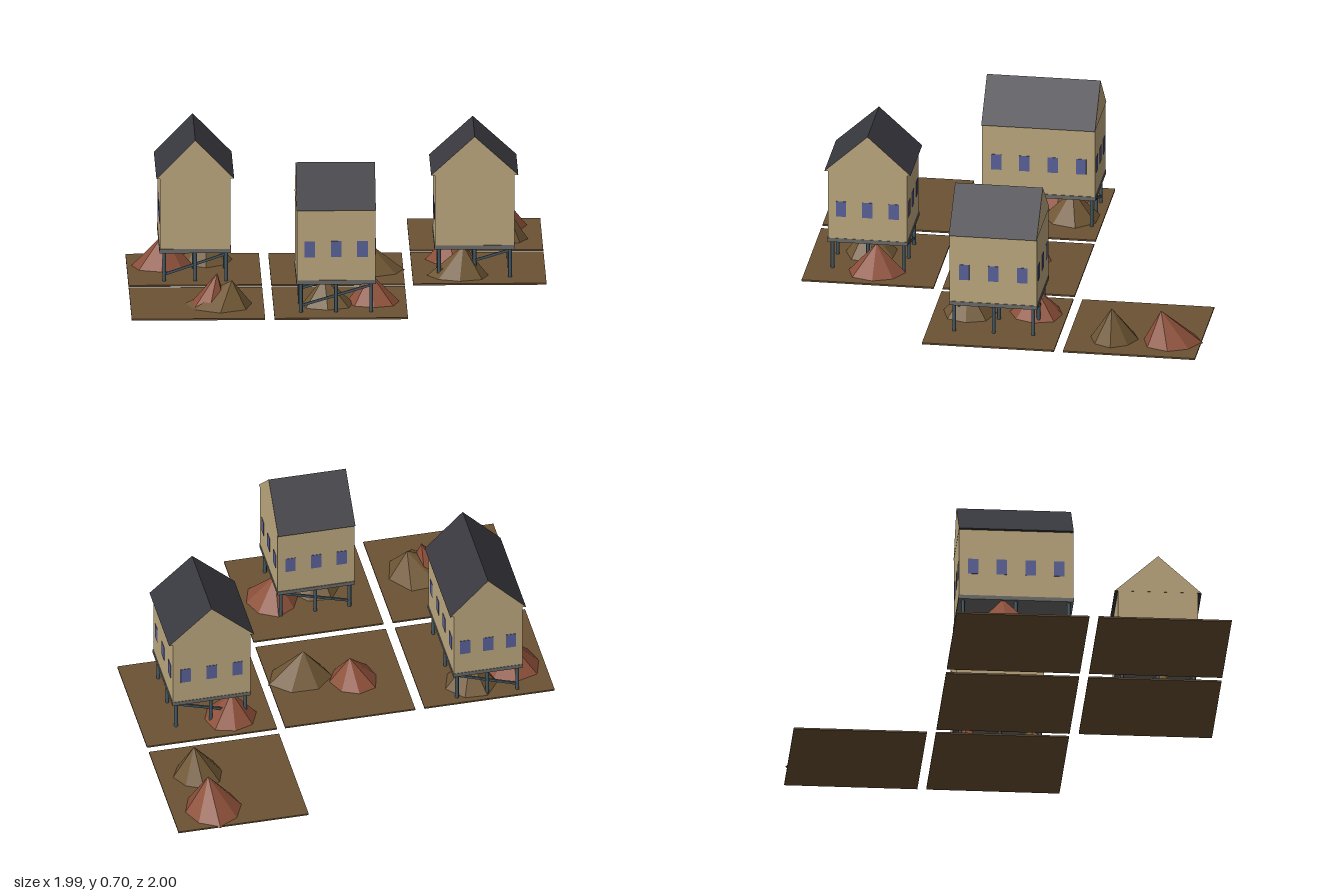
import * as THREE from 'three';

const mat = (name, color, extra = {}) => {
  const m = new THREE.MeshStandardMaterial({ color, ...extra });
  m.name = name;
  return m;
};

export function createModel() {
  const model = new THREE.Group();
  model.name = 'stiltVillage';

  const soil = mat('soil', 0x6b5233);
  const redRock = mat('redRock', 0x8c4f39, { flatShading: true });
  const brownRock = mat('brownRock', 0x705735, { flatShading: true });
  const wall = mat('wall', 0xc0ab80);
  const roof = mat('roof', 0x38383f);
  const glass = mat('windowBlue', 0x5c639c);
  const steel = mat('stiltSteel', 0x475a64);
  const deck = mat('deckGrey', 0x6c6d6b);

  const add = (parent, name, geometry, material, x = 0, y = 0, z = 0) => {
    const mesh = new THREE.Mesh(geometry, material);
    mesh.name = name;
    mesh.position.set(x, y, z);
    parent.add(mesh);
    return mesh;
  };

  // Square ground tiles
  const tiles = [[0.675, -0.675], [-0.68, 0.003], [0, 0.003], [0.675, 0.003], [-0.68, 0.682], [0, 0.682]];
  for (const [x, z] of tiles) {
    add(model, 'groundTile', new THREE.BoxGeometry(0.635, 0.008, 0.635), soil, x, 0.004, z);
  }

  // Faceted rock mounds: centre, radii, height, apex offset, sides
  const rocks = [
    [redRock, 0.79, -0.852, 0.14, 0.143, 0.165, 0.015, 0.05, 8],
    [brownRock, 0.8, -0.575, 0.122, 0.118, 0.168, 0.02, 0.008, 8],
    [redRock, -0.085, -0.02, 0.118, 0.13, 0.13, 0.02, 0.005, 8],
    [brownRock, 0.165, 0.05, 0.158, 0.13, 0.15, -0.02, 0.01, 7],
    [brownRock, -0.575, 0.725, 0.165, 0.165, 0.13, 0.06, 0.005, 7],
    [redRock, -0.625, 0.73, 0.095, 0.11, 0.165, 0.04, 0, 7],
    [redRock, 0.16, 0.665, 0.13, 0.14, 0.145, -0.015, 0, 8],
    [brownRock, -0.06, 0.72, 0.13, 0.13, 0.15, -0.015, 0.02, 7],
    [redRock, -0.835, -0.08, 0.15, 0.14, 0.165, 0.015, 0, 8],
    [brownRock, -0.62, -0.165, 0.13, 0.14, 0.15, 0, 0, 7],
    [redRock, 0.555, -0.17, 0.13, 0.13, 0.14, -0.01, 0.01, 8],
    [brownRock, 0.58, 0.15, 0.15, 0.13, 0.155, 0.02, 0.01, 8],
  ];
  rocks.forEach(([material, x, z, rx, rz, h, ax, az, sides], i) => {
    const g = new THREE.ConeGeometry(1, 1, sides, 1);
    const p = g.attributes.position;
    for (let k = 0; k < p.count; k++) {
      if (p.getY(k) > 0) p.setXYZ(k, ax, h, az);
      else {
        const px = p.getX(k), pz = p.getZ(k);
        const s = 1 + 0.05 * Math.sin(3 * Math.atan2(pz, px) + i) * Math.hypot(px, pz);
        p.setXYZ(k, px * rx * s, 0.004, pz * rz * s);
      }
    }
    g.computeVertexNormals();
    add(model, 'rockMound', g, material, x, 0, z);
  });

  // Row of window plates on one side, facing the given direction
  function windows(parent, count, span, distance, angle) {
    const row = new THREE.Group();
    row.name = 'windowRow';
    row.rotation.y = angle;
    for (let i = 0; i < count; i++) {
      const x = ((i + 0.5) / count - 0.5) * span;
      add(row, 'window', new THREE.BoxGeometry(0.05, 0.078, 0.004), glass, x, 0.32, distance);
    }
    parent.add(row);
  }

  // Gabled upper storey with its ridge along z and a blank wall on +z
  function cabin(parent, w, d, roofW, longCount, turn) {
    const c = new THREE.Group();
    c.name = 'cabin';
    c.rotation.y = turn;
    add(c, 'deck', new THREE.BoxGeometry(w + 0.006, 0.02, d + 0.004), deck, 0, 0.158, 0);
    add(c, 'walls', new THREE.BoxGeometry(w, 0.352, d), wall, 0, 0.34, 0);
    const s = new THREE.Shape();
    s.moveTo(-roofW / 2, 0.512);
    s.lineTo(roofW / 2, 0.512);
    s.lineTo(0, 0.7);
    s.closePath();
    const g = new THREE.ExtrudeGeometry(s, { depth: d + 0.002, bevelEnabled: false });
    add(c, 'gableRoof', g, [wall, roof], 0, 0, -d / 2 - 0.001);
    windows(c, longCount, d, w / 2, Math.PI / 2);
    windows(c, longCount, d, w / 2, -Math.PI / 2);
    windows(c, 3, w, d / 2, Math.PI);
    parent.add(c);
  }

  // Stilts in a grid with rising cross braces on the front and back rows
  function stilts(parent, w, d) {
    const hx = w / 2 - 0.02, hz = d / 2 - 0.02;
    for (const i of [-1, 0, 1]) for (const k of [-1, 0, 1]) {
      add(parent, 'stilt', new THREE.CylinderGeometry(0.009, 0.009, 0.15, 8), steel, i * hx, 0.075, k * hz);
    }
    for (const k of [-1, 1]) {
      const brace = add(parent, 'brace', new THREE.BoxGeometry(Math.hypot(2 * hx, 0.1), 0.012, 0.008), steel, 0, 0.09, k * hz);
      brace.rotation.z = Math.atan2(0.1, 2 * hx);
    }
  }

  // Houses: position, body width and depth, roof width, side windows, turn
  const houses = [
    [-0.678, -0.018, 0.335, 0.545, 0.37, 4, 0],
    [0.653, 0, 0.378, 0.42, 0.415, 3, 0],
    [-0.022, 0.705, 0.382, 0.375, 0.415, 3, -Math.PI / 2],
  ];
  for (const [x, z, w, d, roofW, count, turn] of houses) {
    const house = new THREE.Group();
    house.name = 'stiltHouse';
    house.position.set(x, 0, z);
    cabin(house, w, d, roofW, count, turn);
    if (turn) stilts(house, d, w);
    else stilts(house, w, d);
    model.add(house);
  }
  return model;
}
